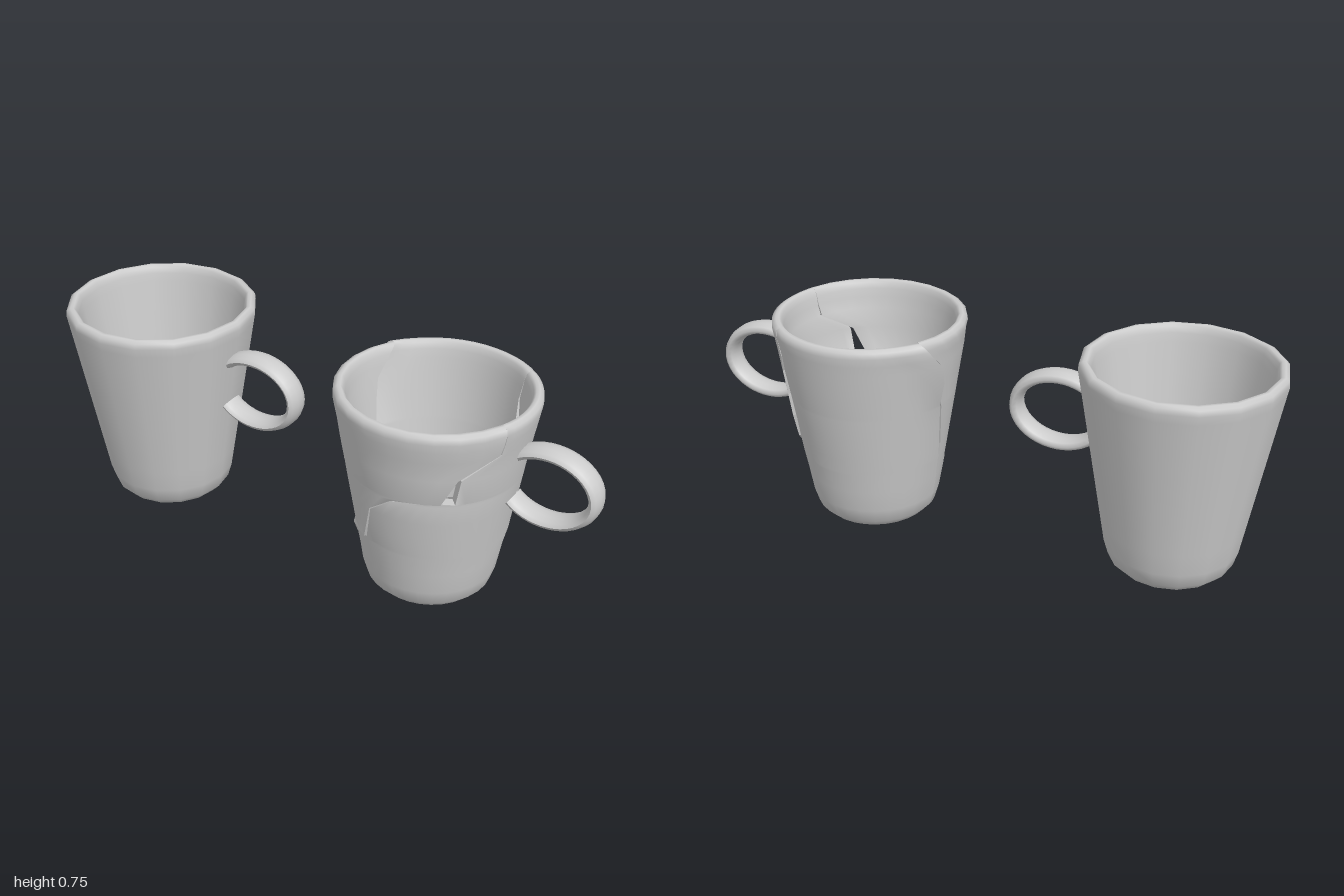
import * as THREE from 'three';

const grey = new THREE.MeshStandardMaterial({ color: 0xcccccc });
const greyBoth = new THREE.MeshStandardMaterial({ color: 0xcccccc, side: THREE.DoubleSide });

// Crack lines by height: angles in degrees of both lips of the front (A), handle side (B) and far side (C) cracks
const cracks = [
  // y,  A1,  A2,  B1,  B2,  C1,  C2
  [0.10, 165, 165, 0, 0, 182, 182],
  [0.18, 147, 152, -7, -4, 182, 183],
  [0.25, 138, 141, -24, -19, 183, 184],
  [0.26, 117, 118, -27, -22, 183, 184],
  [0.31, 113, 114, -40, -35, 184, 186],
  [0.40, 107, 108, -45, -39, 188, 190],
  [0.475, 88, 89, -46, -40, 191, 193],
  [0.485, 49, 58, -46, -40, 192, 194],
  [0.58, 47, 49, -46, -42, 195, 197],
  [0.65, 24, 25, -49, -48, 198, 200],
  [0.69, 23, 23.5, -48, -47.5, 205, 206],
  [0.75, 23, 23, -47, -47, 214, 214],
];

// Wall levels: outer radius, outer height, inner radius, inner height
const levels = [
  [0, 0.002, 0, 0.04], [0.12, 0.006, 0.1, 0.044], [0.18, 0.02, 0.15, 0.055], [0.21, 0.05, 0.18, 0.075],
  ...cracks.slice(0, -1).map(([y]) => [0.225 + 0.169 * (y - 0.1), y, 0.195 + 0.153 * (y - 0.1), Math.max(y, 0.105)]),
  [0.33, 0.72, 0.29, 0.72], [0.328, 0.74, 0.296, 0.74], [0.315, 0.748, 0.304, 0.748],
];

function angleAt(y, column) {
  if (y <= cracks[0][0]) return cracks[0][column];
  const i = cracks.findIndex((row) => row[0] >= y);
  const a = cracks[i - 1], b = cracks[i];
  return THREE.MathUtils.lerp(a[column], b[column], (y - a[0]) / (b[0] - a[0]));
}

// One curved shard between two cracks, with its broken edges
function shard(name, startColumn, endColumn, turn, push) {
  const pos = [], index = [];
  const n = levels.length, steps = 14;
  const vertex = (level, inner, u) => {
    const [ro, yo, ri, yi] = levels[level];
    const a = THREE.MathUtils.degToRad(THREE.MathUtils.lerp(angleAt(yo, startColumn), angleAt(yo, endColumn) + turn, u));
    const r = (inner ? ri : ro) + push(u, yo);
    pos.push(r * Math.cos(a), inner ? yi : yo, r * Math.sin(a));
    return pos.length / 3 - 1;
  };
  const quad = (a, b, c, d) => index.push(a, b, c, a, c, d);

  // Outer and inner skin
  const rows = 2 * n;
  for (let k = 0; k <= steps; k++) {
    for (let i = 0; i < n; i++) vertex(i, false, k / steps);
    for (let i = n - 1; i >= 0; i--) vertex(i, true, k / steps);
  }
  for (let k = 0; k < steps; k++) {
    for (let i = 0; i < rows - 1; i++) {
      const a = k * rows + i;
      quad(a, a + 1, a + 1 + rows, a + rows);
    }
  }
  // Broken edges
  for (const u of [0, 1]) {
    for (let i = 0; i < n - 1; i++) {
      const q = [vertex(i, true, u), vertex(i + 1, true, u), vertex(i + 1, false, u), vertex(i, false, u)];
      quad(...(u ? q.reverse() : q));
    }
  }
  const geometry = new THREE.BufferGeometry();
  geometry.setAttribute('position', new THREE.Float32BufferAttribute(pos, 3));
  geometry.setIndex(index);
  geometry.computeVertexNormals();
  const mesh = new THREE.Mesh(geometry, greyBoth);
  mesh.name = name;
  return mesh;
}

// Flattened oval band that ends inside the wall
function handle() {
  const points = [];
  for (let i = 0; i <= 24; i++) {
    const a = THREE.MathUtils.degToRad(-140 + (280 * i) / 24);
    points.push(new THREE.Vector3(0.4 + 0.155 * Math.cos(a), 0.507 + 0.12 * Math.sin(a), 0));
  }
  const geometry = new THREE.TubeGeometry(new THREE.CatmullRomCurve3(points), 32, 0.021, 10);
  geometry.scale(1, 1, 2.15);
  geometry.computeVertexNormals();
  const mesh = new THREE.Mesh(geometry, greyBoth);
  mesh.name = 'handle';
  return mesh;
}

function wholeMug() {
  const mug = new THREE.Group();
  mug.name = 'wholeMug';
  const outer = levels.map(([r, y]) => new THREE.Vector2(r, y));
  const inner = levels.map(([, , r, y]) => new THREE.Vector2(r, y)).reverse();
  const body = new THREE.Mesh(new THREE.LatheGeometry([...outer, ...inner], 16), grey);
  body.name = 'cup';
  mug.add(body, handle());
  return mug;
}

function crackedMug() {
  const mug = new THREE.Group();
  mug.name = 'crackedMug';
  // Lips lifted a little around the middle of a crack
  const lift = (y, centre, reach, amount) => amount * Math.max(0, 1 - Math.abs(y - centre) / reach);
  mug.add(
    shard('handleShard', 4, 1, 0, (u, y) => lift(y, 0.4, 0.3, 0.008) * Math.max(0, 1 - 5 * u)),
    shard('frontShard', 2, 5, 0, (u, y) => lift(y, 0.25, 0.15, 0.008) * Math.max(0, 1 - 6 * u)),
    shard('backShard', 6, 3, 360, (u, y) => lift(y, 0.62, 0.16, 0.03) * Math.max(0, 1 - 6 * u)),
    handle(),
  );
  return mug;
}

export function createModel() {
  const model = new THREE.Group();
  model.name = 'twoMugs';
  const whole = wholeMug();
  whole.position.set(-0.67, 0.008, 0);
  const cracked = crackedMug();
  cracked.position.set(0.418, 0, 0);
  model.add(whole, cracked);
  return model;
}
